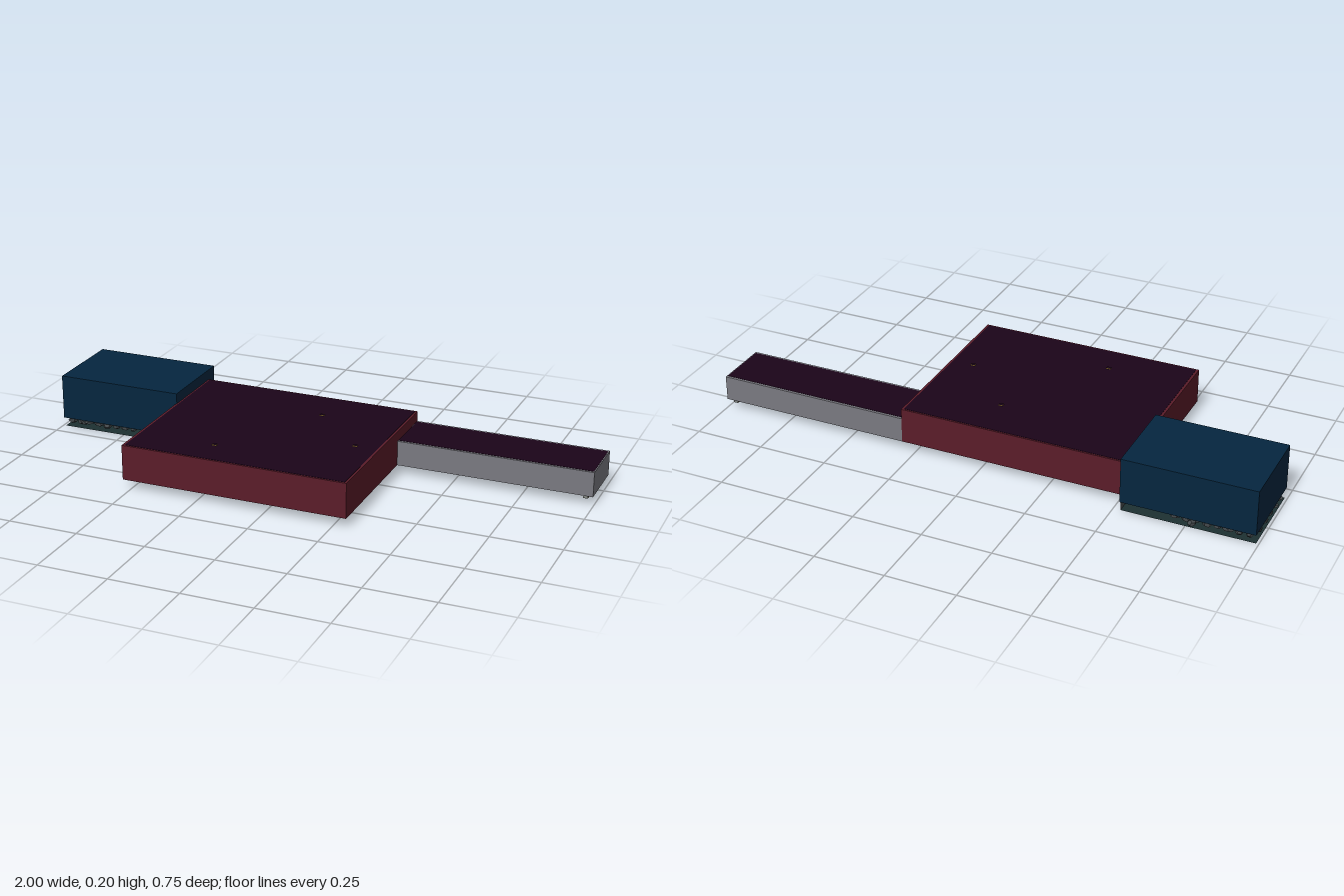
import * as THREE from 'three';

const mat = (name, color, extra = {}) => new THREE.MeshStandardMaterial({ name, color, ...extra });

export function createModel() {
  const model = new THREE.Group();
  model.name = 'roomComplex';
  const red = mat('darkRed', 0x5b1c29);
  const redFloor = mat('floorRed', 0x86141c);
  const blue = mat('navyBlue', 0x05263f);
  const grey = mat('wallGrey', 0x7a7a81);
  const purple = mat('ceilingPurple', 0x1b0419);
  const slate = mat('stoneGrey', 0x43484b, { side: THREE.DoubleSide });
  const floorDark = mat('floorDark', 0x1d3032, { side: THREE.DoubleSide });
  const gold = mat('gold', 0xb8943f);
  const bronze = mat('bronze', 0x5a4726);
  const hallFloor = mat('hallFloorGrey', 0x808480);

  const add = (name, geometry, material) => {
    const mesh = new THREE.Mesh(geometry, material);
    mesh.name = name;
    model.add(mesh);
    return mesh;
  };
  // Box given by its limits on each axis
  const box = (name, material, [x0, x1], [y0, y1], [z0, z1]) => {
    const mesh = add(name, new THREE.BoxGeometry(x1 - x0, y1 - y0, z1 - z0), material);
    mesh.position.set((x0 + x1) / 2, (y0 + y1) / 2, (z0 + z1) / 2);
  };

  // Three joined rooms, with their own floor and ceiling colours
  box('mainHall', [red, red, red, redFloor, red, red],
    [-0.527, 0.297], [0.035, 0.162], [-0.313, 0.371]);
  box('mainHallCeiling', purple, [-0.518, 0.289], [0.16, 0.163], [-0.307, 0.365]);
  box('corridor', [grey, grey, grey, hallFloor, grey, grey],
    [0.297, 0.998], [0.035, 0.125], [-0.313, -0.11]);
  box('corridorCeiling', purple, [0.298, 0.994], [0.123, 0.126], [-0.304, -0.118]);
  box('sunkenRoom', blue, [-0.992, -0.524], [0.036, 0.2], [-0.358, -0.046]);

  // Door sill under the far end of the corridor
  box('doorSillPlate', gold, [0.93, 0.985], [0.034, 0.036], [-0.304, -0.12]);
  box('doorSill', [bronze, bronze, hallFloor, gold, hallFloor, hallFloor],
    [0.962, 0.978], [0.022, 0.035], [-0.304, -0.12]);

  // Sunken floor with the step that leads down to it
  const floor = add('sunkenFloor', new THREE.PlaneGeometry(0.465, 0.295), floorDark);
  floor.rotation.x = -Math.PI / 2;
  floor.position.set(-0.758, 0.001, -0.2025);
  const step = add('floorStep', new THREE.PlaneGeometry(0.295, 0.034), slate);
  step.rotation.y = Math.PI / 2;
  step.position.set(-0.526, 0.018, -0.2025);

  // Rubble along the edges of the sunken floor, thinning towards the step
  let seed = 7;
  const rand = () => (seed = (seed * 16807) % 2147483647) / 2147483647;
  const rubble = new THREE.Group();
  rubble.name = 'rubble';
  model.add(rubble);
  const stone = new THREE.DodecahedronGeometry(1, 0);
  const rock = (x, z, r, h) => {
    const mesh = new THREE.Mesh(stone, slate);
    mesh.name = 'rock';
    mesh.scale.set(r, h, r * 0.7);
    mesh.position.set(x, 0.034 - h * 0.7, z);
    mesh.rotation.y = rand() * 3;
    rubble.add(mesh);
  };
  for (let i = 0; i < 8; i++) {
    const x = -0.965 + i * 0.036;
    rock(x, -0.066, 0.018 + rand() * 0.008, 0.008 + rand() * 0.006);
    rock(x, -0.338, 0.016 + rand() * 0.008, 0.008 + rand() * 0.006);
  }
  for (let i = 0; i < 5; i++) rock(-0.98, -0.1 - i * 0.05, 0.019, 0.011);
  for (const x of [-0.66, -0.6, -0.55]) rock(x, -0.075, 0.009, 0.012);
  rock(-0.775, -0.356, 0.019, 0.013);
  rock(-0.91, -0.058, 0.016, 0.011);

  // Small lamp tips just above the ceiling
  for (const [x, z] of [[-0.235, 0.247], [0.21, 0.07], [0, -0.145]]) {
    box('lampTip', [gold, gold, purple, gold, gold, gold],
      [x - 0.008, x + 0.008], [0.16, 0.166], [z - 0.006, z + 0.006]);
  }

  // Furniture feet set flush in the floors
  const foot = (name, material, x, z, w, d) =>
    box(name, material, [x - w / 2, x + w / 2], [0.034, 0.038], [z - d / 2, z + d / 2]);
  foot('furnitureFoot', purple, -0.11, 0.06, 0.1, 0.03);
  for (const [x, z] of [[-0.22, -0.12], [-0.03, -0.2], [0.18, -0.15]]) {
    foot('darkFoot', purple, x, z, 0.016, 0.014);
  }
  for (const [x, z] of [[0.08, 0.03], [0.06, 0.17], [0.1, 0.1]]) {
    foot('goldFoot', gold, x, z, 0.016, 0.012);
  }
  for (const [x, z] of [[0.695, -0.235], [0.565, -0.195], [0.465, -0.25], [0.42, -0.134]]) {
    foot('corridorFoot', bronze, x, z, 0.018, 0.014);
  }
  return model;
}
